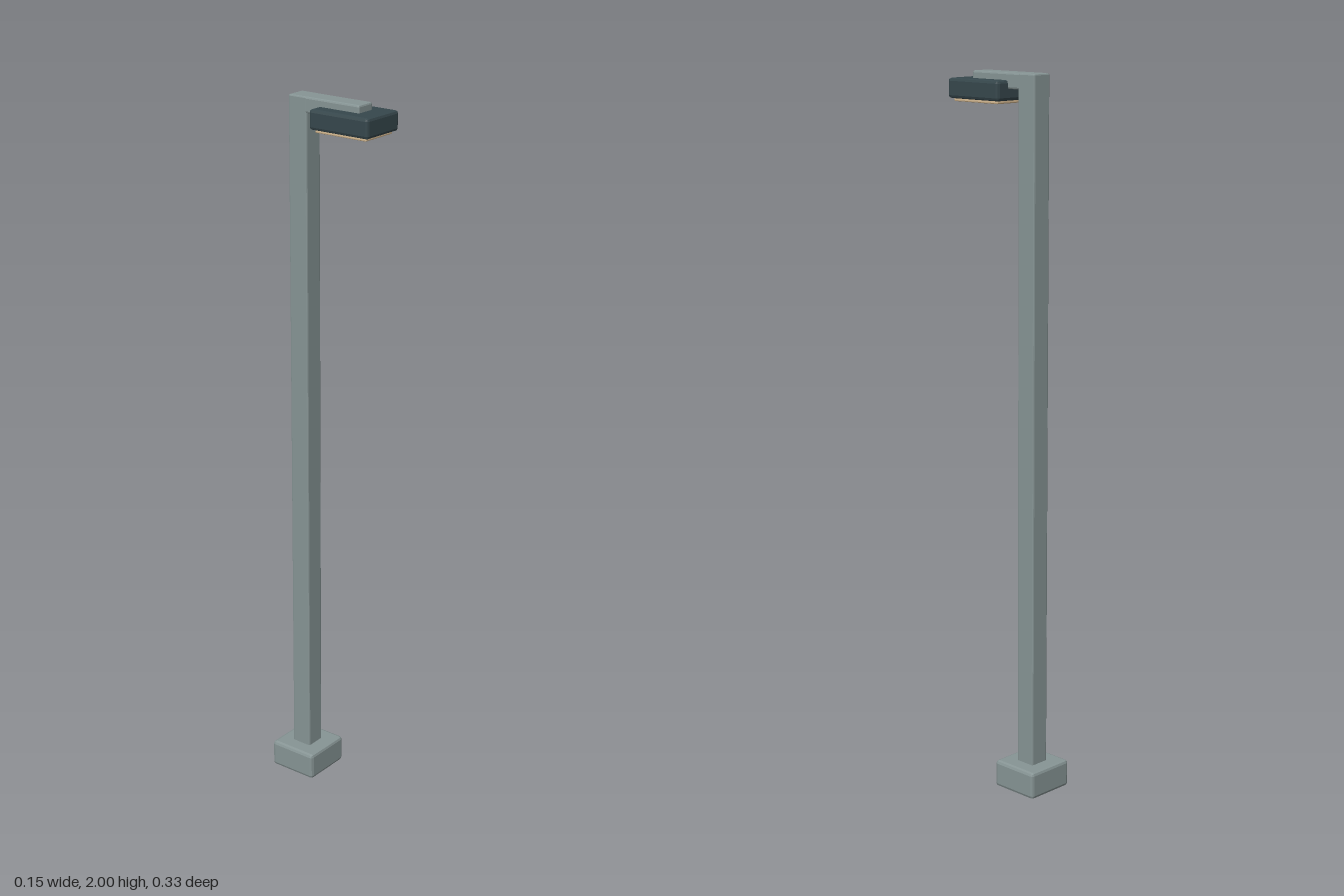
import * as THREE from 'three';
import { RoundedBoxGeometry } from 'three/addons/geometries/RoundedBoxGeometry.js';

const material = (color) => new THREE.MeshStandardMaterial({ color, flatShading: true });

export function createModel() {
  const group = new THREE.Group();
  group.name = 'streetLamp';
  const metal = material(0x869494);
  const dark = material(0x36474c);
  const glow = material(0xd8bc94);

  // Bevelled block given by its half width and its y and z ranges
  function block(name, halfX, [y0, y1], [z0, z1], bevel, mat) {
    const geometry = new RoundedBoxGeometry(halfX * 2, y1 - y0, z1 - z0, 1, bevel);
    const mesh = new THREE.Mesh(geometry, mat);
    mesh.name = name;
    mesh.position.set(0, (y0 + y1) / 2, (z0 + z1) / 2);
    group.add(mesh);
  }

  // Foot and post
  block('base', 0.074, [0, 0.078], [-0.165, -0.018], 0.009, metal);
  block('post', 0.029, [0.05, 2], [-0.122, -0.062], 0.004, metal);

  // Arm reaching forward over the lamp head
  block('arm', 0.029, [1.957, 2], [-0.07, 0.108], 0.005, metal);

  // Lamp head with a light panel on its underside
  block('lampHead', 0.067, [1.926, 1.98], [-0.025, 0.164], 0.008, dark);
  block('lightPanel', 0.056, [1.918, 1.94], [-0.013, 0.151], 0.003, glow);

  return group;
}
